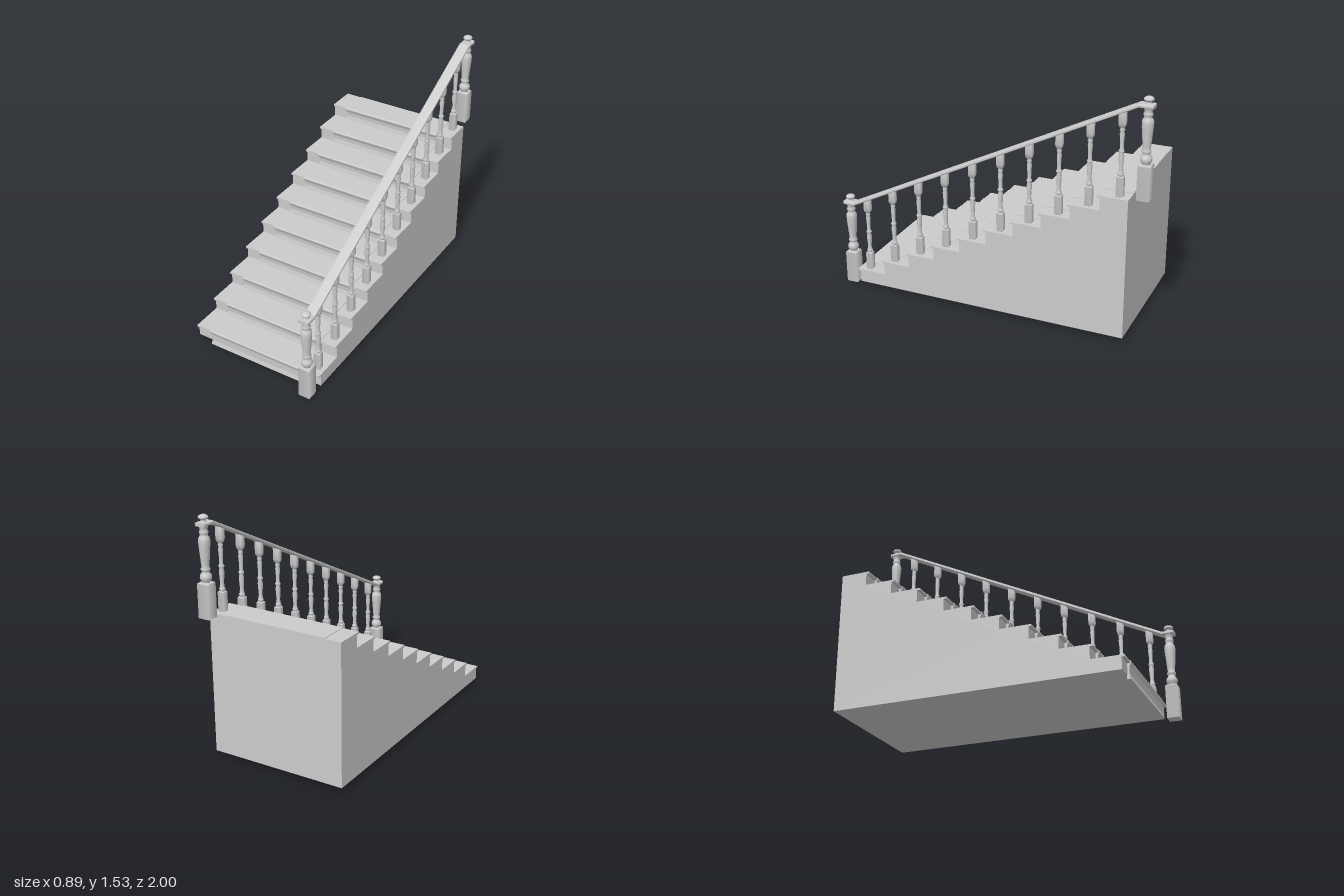
import * as THREE from 'three';

const STEPS = 10, RISE = 0.0895, RUN = 0.1785;
const RISER_Z = 0.89, BACK_Z = -0.885, BASE_Y = 0.025, FIRST_Y = 0.11;
const TREAD_T = 0.013, NOSE = 0.018, WIDTH = 0.89, RAIL_X = 0.397;

const material = new THREE.MeshStandardMaterial({ color: 0xcccccc });
const treadY = i => FIRST_Y + i * RISE;
const riserZ = i => (i < STEPS ? RISER_Z - i * RUN : BACK_Z);

function addMesh(parent, name, geometry) {
  const mesh = new THREE.Mesh(geometry, material);
  mesh.name = name;
  parent.add(mesh);
  return mesh;
}

// Extrudes a side profile of [z, y] points across the width in x
function sideExtrude(points, width, bevel = {}) {
  const shape = new THREE.Shape(points.map(p => new THREE.Vector2(...p)));
  const inset = bevel.bevelThickness || 0;
  const geo = new THREE.ExtrudeGeometry(shape, { depth: width - 2 * inset, bevelEnabled: false, ...bevel });
  geo.translate(0, 0, -width / 2 + inset);
  return geo.rotateY(-Math.PI / 2);
}

// Turned part from [radius, height] points
const turned = (points, sides) =>
  new THREE.LatheGeometry(points.map(p => new THREE.Vector2(...p)), sides);

// Square block with eased ends; half is half of its width
function squareBlock(half, y0, y1, ease) {
  const r = half * Math.SQRT2;
  return turned([[0, y0], [r, y0], [r, y0 + 0.001], [r, y1 - ease],
    [r * 0.92, y1 - ease * 0.4], [r * 0.72, y1], [0, y1]], 4).rotateY(Math.PI / 4);
}

// Newel post: square foot, turned shaft and finial
function newelPost(name, y, z) {
  const post = new THREE.Group();
  post.name = name;
  addMesh(post, 'newelFoot', squareBlock(0.037, 0, 0.215, 0.01));
  addMesh(post, 'newelShaft', turned([
    [0.024, 0.21], [0.026, 0.222], [0.033, 0.232], [0.035, 0.245], [0.032, 0.258],
    [0.024, 0.268], [0.021, 0.28], [0.027, 0.286], [0.028, 0.294], [0.022, 0.302],
    [0.024, 0.32], [0.028, 0.37], [0.033, 0.43], [0.034, 0.46], [0.031, 0.475],
    [0.024, 0.484], [0.022, 0.495], [0.027, 0.502], [0.027, 0.51], [0.022, 0.518],
    [0.024, 0.535], [0.03, 0.545], [0.03, 0.55],
  ], 16));
  addMesh(post, 'newelFinial', turned([
    [0.024, 0.555], [0.022, 0.566], [0.015, 0.573], [0.017, 0.58], [0.028, 0.587],
    [0.03, 0.593], [0.025, 0.601], [0.014, 0.607], [0, 0.61],
  ], 12));
  post.position.set(RAIL_X, y, z);
  return post;
}

// Baluster: square foot, slender turned stem and head block under the rail
function baluster(height) {
  const post = new THREE.Group();
  post.name = 'baluster';
  addMesh(post, 'balusterFoot', squareBlock(0.02, 0, 0.12, 0.008));
  addMesh(post, 'balusterStem', turned([
    [0.013, 0.115], [0.018, 0.128], [0.018, 0.136], [0.012, 0.145], [0.015, 0.152],
    [0.011, 0.16], [0.014, 0.2], [0.016, 0.235], [0.012, 0.255], [0.017, 0.262],
    [0.017, 0.27], [0.011, 0.28], [0.012, 0.32], [0.015, 0.365], [0.011, 0.38],
    [0.016, 0.388], [0.012, 0.398], [0.014, 0.405], [0.018, 0.412],
  ], 12));
  // Head block with a rounded underside
  const r = 0.019 * Math.SQRT2;
  addMesh(post, 'balusterHead', turned([
    [0, 0.4], [r * 0.65, 0.404], [r * 0.92, 0.415], [r, 0.43], [r, 0.5], [0, 0.5],
  ], 4).rotateY(Math.PI / 4));
  post.scale.y = height / 0.5;
  return post;
}

export function createModel() {
  const model = new THREE.Group();
  model.name = 'staircase';

  // Solid body below the treads
  const body = [[BACK_Z, BASE_Y], [RISER_Z, BASE_Y]];
  for (let i = 0; i < STEPS; i++) {
    body.push([riserZ(i), treadY(i) - TREAD_T], [riserZ(i + 1), treadY(i) - TREAD_T]);
  }
  addMesh(model, 'stairBody', sideExtrude(body, WIDTH));

  // Treads with overhanging nosings
  const treads = new THREE.Group();
  treads.name = 'treads';
  model.add(treads);
  for (let i = 0; i < STEPS; i++) {
    const front = riserZ(i) + NOSE, back = riserZ(i + 1);
    const tread = addMesh(treads, 'tread', new THREE.BoxGeometry(WIDTH, TREAD_T, front - back));
    tread.position.set(0, treadY(i) - TREAD_T / 2, (front + back) / 2);
  }

  // Carpet runner draped over nosings and risers
  const lift = 0.004;
  const carpet = [[RISER_Z - 0.005, 0.005]];
  for (let i = 0; i < STEPS; i++) {
    const z = riserZ(i), y = treadY(i), nose = z + NOSE + 0.006;
    const foot = i ? treadY(i - 1) + lift : 0.005;
    carpet.push([z + 0.018, foot], [z + 0.012, foot + 0.03], [z + 0.014, y - 0.03],
      [nose - 0.002, y - TREAD_T], [nose, y - 0.004], [nose - 0.005, y + lift]);
  }
  carpet.push([BACK_Z + 0.001, treadY(STEPS - 1) + lift], [BACK_Z + 0.001, treadY(STEPS - 1) - 0.005]);
  // Underside stays inside the body
  for (let i = STEPS - 1; i > 0; i--) {
    carpet.push([riserZ(i) - 0.005, treadY(i) - 0.005], [riserZ(i) - 0.005, treadY(i - 1) - 0.005]);
  }
  carpet.push([RISER_Z - 0.005, FIRST_Y - 0.005]);
  addMesh(model, 'carpetRunner', sideExtrude(carpet, 0.68));

  // Handrail with level ends over the newels
  const railPath = [[0.994, 0.555], [0.925, 0.555], [-0.915, 1.475], [-0.994, 1.475]];
  const half = 0.005;
  const railProfile = [
    ...railPath.map(([z, y]) => [z, y - half]),
    ...railPath.map(([z, y]) => [z, y + half]).reverse(),
  ];
  const rail = addMesh(model, 'handrail', sideExtrude(railProfile, 0.068,
    { bevelEnabled: true, bevelThickness: 0.014, bevelSize: 0.006, bevelSegments: 4 }));
  rail.position.x = RAIL_X;

  // Balusters, one on each tread
  for (let i = 0; i < STEPS; i++) {
    const z = 0.84 - i * 0.1845;
    const railY = 0.555 + (0.925 - z) * 0.5;
    const post = baluster(railY - treadY(i));
    post.position.set(RAIL_X, treadY(i), z);
    model.add(post);
  }

  model.add(newelPost('bottomNewel', 0, 0.963), newelPost('topNewel', 0.92, -0.963));
  return model;
}
